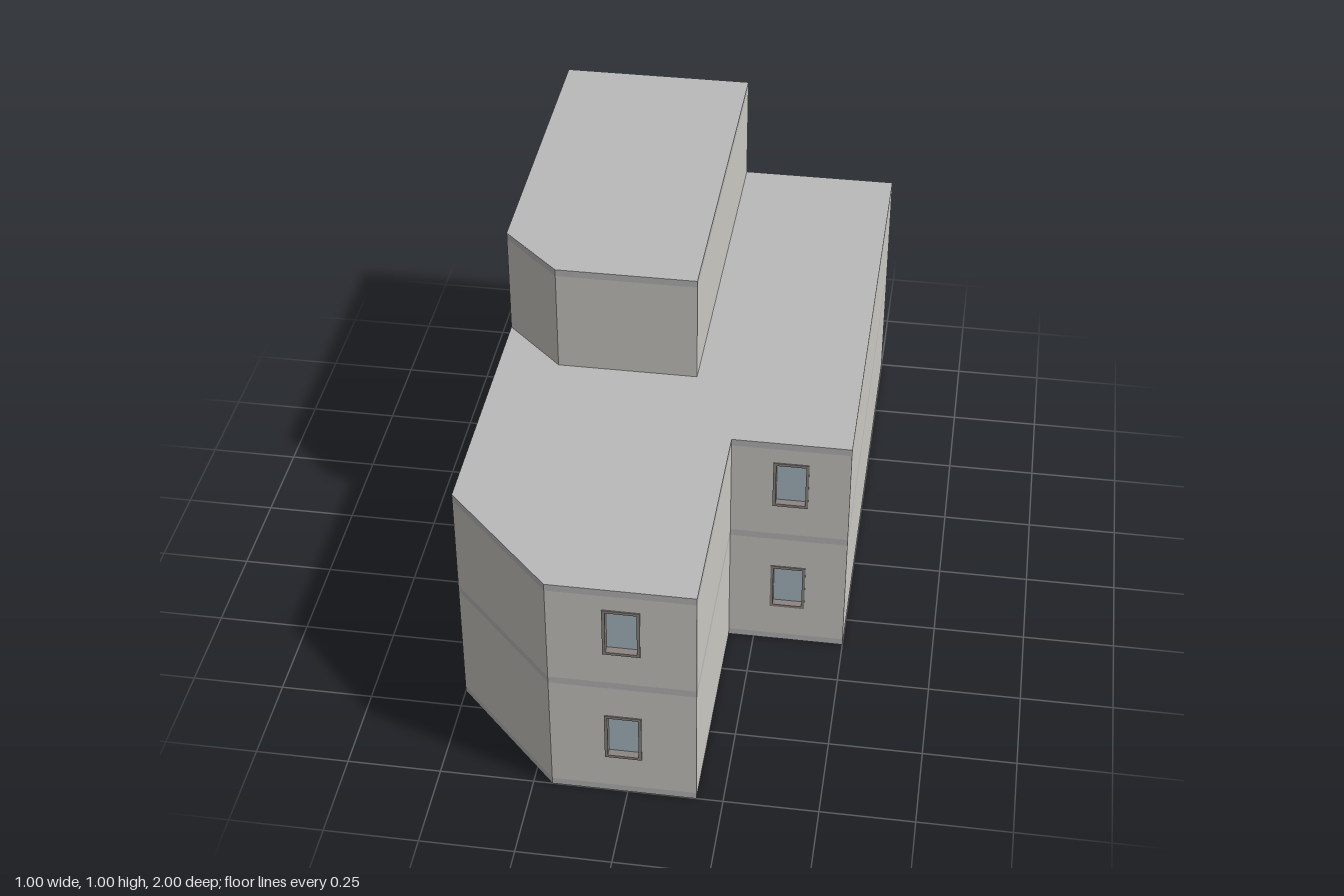
import * as THREE from 'three';

const material = (color) => new THREE.MeshStandardMaterial({ color });
const WALL = material(0xcccac4), SLAB = material(0xbababa), FRAME = material(0x8c8580);
const GLASS = material(0xa9bac4), DOOR = material(0x8f989c);

const T = 0.03; // wall thickness
const OUT = 0.003; // how far frames stand proud of the wall
const RECESS = 0.018; // how far panes sit back

// Plans as [x, z], walked along the front towards +x, then round the back
const mainPlan = [[-0.2, 1], [0.18, 1], [0.18, 0.355], [0.5, 0.355], [0.5, -1], [-0.5, -1], [-0.5, 0.69]];
const topPlan = [[-0.335, 0.09], [0.05, 0.09], [0.05, -1], [-0.5, -1], [-0.5, -0.07]];

// Openings by wall number: u along the wall, v up from the ground
const groundOpenings = {
  0: [{ u: 0.142, v: 0.12, w: 0.096, h: 0.145 }],
  2: [{ u: 0.113, v: 0.12, w: 0.096, h: 0.145 }],
  5: [
    { u: 0.01, v: 0.02, w: 0.12, h: 0.235, door: true },
    { u: 0.49, v: 0.14, w: 0.17, h: 0.085, panes: 2 },
    { u: 1.17, v: 0.1, w: 0.17, h: 0.085, panes: 2 },
  ],
};
const firstOpenings = {
  0: [{ u: 0.142, v: 0.477, w: 0.096, h: 0.145 }],
  2: [{ u: 0.113, v: 0.477, w: 0.096, h: 0.145 }],
  5: [
    { u: 0.415, v: 0.495, w: 0.17, h: 0.085, panes: 2 },
    { u: 1.17, v: 0.455, w: 0.17, h: 0.085, panes: 2 },
  ],
};
const topOpenings = { 3: [{ u: 0.38, v: 0.805, w: 0.17, h: 0.085, panes: 2 }] };

function add(parent, name, geometry, mat) {
  const mesh = new THREE.Mesh(geometry, mat);
  mesh.name = name;
  parent.add(mesh);
  return mesh;
}

function rectangle(Kind, x, y, w, h) {
  return new Kind([[x, y], [x + w, y], [x + w, y + h], [x, y + h]].map(([a, b]) => new THREE.Vector2(a, b)));
}

const extrude = (shape, depth) => new THREE.ExtrudeGeometry(shape, { depth, bevelEnabled: false });

// Floor or roof plate over a whole plan
function addSlab(parent, name, plan, bottom, top) {
  const shape = new THREE.Shape(plan.map(([x, z]) => new THREE.Vector2(x, -z)));
  const geometry = extrude(shape, top - bottom).rotateX(-Math.PI / 2).translate(0, bottom, 0);
  add(parent, name, geometry, SLAB);
}

// Framed window or door, set into a wall whose outer face is local z = 0
function addOpening(parent, { u, v, w, h, panes = 1, door = false }) {
  const group = new THREE.Group();
  group.name = door ? 'door' : 'window';
  group.position.set(u, v, 0);
  parent.add(group);

  const f = 0.008;
  const ring = rectangle(THREE.Shape, 0, 0, w, h);
  ring.holes.push(rectangle(THREE.Path, f, f, w - 2 * f, h - 2 * f));
  const proud = door ? 0 : OUT;
  add(group, 'frame', extrude(ring, T + proud), FRAME).position.z = -T;

  const panel = add(group, door ? 'doorLeaf' : 'glass',
    new THREE.BoxGeometry(w - 2 * f, h - 2 * f, 0.008), door ? DOOR : GLASS);
  panel.position.set(w / 2, h / 2, -RECESS - 0.004);

  for (let i = 1; i < panes; i++) {
    add(group, 'mullion', new THREE.BoxGeometry(0.007, h - 2 * f, 0.014), FRAME)
      .position.set(w * i / panes, h / 2, -RECESS + 0.004);
  }
  if (door) {
    add(group, 'doorHandle', new THREE.SphereGeometry(0.005, 12, 8), FRAME)
      .position.set(w - 0.022, h * 0.47, -RECESS + 0.004);
  }
}

// One storey: a panel per plan edge, cut by its openings
function addStorey(parent, name, plan, bottom, top, openings) {
  const storey = new THREE.Group();
  storey.name = name;
  parent.add(storey);
  plan.forEach(([ax, az], i) => {
    const [bx, bz] = plan[(i + 1) % plan.length];
    const side = new THREE.Group();
    side.name = 'facade';
    side.position.set(ax, 0, az);
    side.rotation.y = Math.atan2(az - bz, bx - ax);
    storey.add(side);

    const shape = rectangle(THREE.Shape, 0, bottom, Math.hypot(bx - ax, bz - az), top - bottom);
    for (const o of openings[i] ?? []) {
      // the hole sits just inside the frame's outer edge so no gap shows
      const e = 0.001;
      shape.holes.push(rectangle(THREE.Path, o.u + e, o.v + e, o.w - 2 * e, o.h - 2 * e));
      addOpening(side, o);
    }
    add(side, 'wall', extrude(shape, T), WALL).position.z = -T;
  });
}

export function createModel() {
  const building = new THREE.Group();
  building.name = 'building';

  // Two full storeys between floor plates
  addSlab(building, 'groundSlab', mainPlan, 0, 0.02);
  addStorey(building, 'groundStorey', mainPlan, 0.02, 0.36, groundOpenings);
  addSlab(building, 'floorSlab', mainPlan, 0.36, 0.38);
  addStorey(building, 'firstStorey', mainPlan, 0.38, 0.667, firstOpenings);
  addSlab(building, 'mainRoof', mainPlan, 0.667, 0.687);

  // Smaller set-back storey on top
  addStorey(building, 'topStorey', topPlan, 0.687, 0.98, topOpenings);
  addSlab(building, 'topRoof', topPlan, 0.98, 1);

  return building;
}
